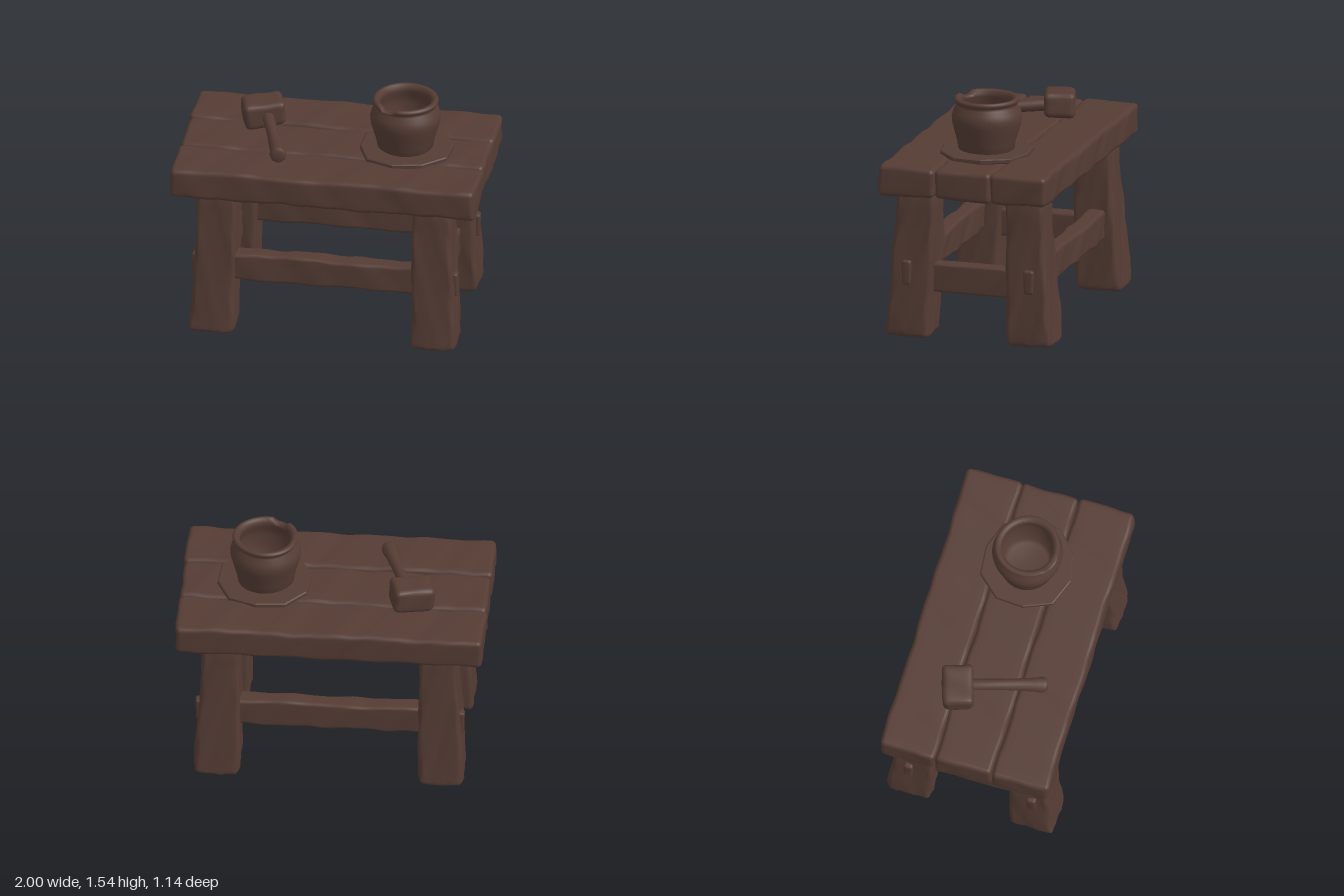
import * as THREE from 'three';
import { mergeVertices } from 'three/addons/utils/BufferGeometryUtils.js';

const wood = new THREE.MeshStandardMaterial({ color: 0x553c34 });
wood.name = 'darkBrown';

// Smooth wavering used for hand-hewn surfaces
const wave = (a, b, s) =>
  Math.sin(a * 7.3 + s * 1.7) * 0.45 + Math.sin(a * 17.1 + b * 5 + s * 3.1) * 0.35 + Math.sin(a * 31 - b * 9 + s) * 0.2;

// Weld, then recompute smooth normals
function smooth(geo) {
  geo.deleteAttribute('uv');
  geo.deleteAttribute('normal');
  const g = mergeVertices(geo, 1e-4);
  g.computeVertexNormals();
  return g;
}

// Box with rounded, uneven edges; shape(p) optionally bends it afterwards
function wornBox(size, r, seg, amp, seed, shape) {
  const geo = new THREE.BoxGeometry(1, 1, 1, ...seg);
  const pos = geo.attributes.position;
  const p = new THREE.Vector3(), c = new THREE.Vector3();
  for (let i = 0; i < pos.count; i++) {
    p.fromBufferAttribute(pos, i);
    ['x', 'y', 'z'].forEach((k, a) => {
      const n = seg[a], h = size[a] / 2, j = Math.round((p[k] + 0.5) * n);
      const m = Math.min(j, n - j), sign = j < n / 2 ? -1 : 1;
      // two outer rows form the rounded edge, the rest are evenly spread
      if (m < 2) p[k] = sign * (h - r * [0, 0.59][m]);
      else p[k] = (h - r) * (2 * (j - 2) / (n - 4) - 1);
      c[k] = THREE.MathUtils.clamp(p[k], r - h, h - r);
    });
    p.sub(c).setLength(r).add(c);
    const q = p.clone();
    p.x += amp * wave(q.y + q.z, q.x, seed) * Math.sign(q.x);
    p.y += amp * wave(q.x + q.z * 0.5, q.y, seed + 2) * Math.sign(q.y);
    p.z += amp * wave(q.x + q.y, q.z, seed + 4) * Math.sign(q.z);
    if (shape) shape(p);
    pos.setXYZ(i, p.x, p.y, p.z);
  }
  return smooth(geo);
}

function add(parent, name, geo, x = 0, y = 0, z = 0) {
  const mesh = new THREE.Mesh(geo, wood);
  mesh.name = name;
  mesh.position.set(x, y, z);
  parent.add(mesh);
  return mesh;
}

export function createModel() {
  const model = new THREE.Group();
  model.name = 'workTable';

  // Table top: three thick planks
  [['frontPlank', 0.376, 0.374, 0.2], ['middlePlank', -0.005, 0.382, 0.19], ['backPlank', -0.381, 0.366, 0.2]]
    .forEach(([name, z, depth, height], i) =>
      add(model, name, wornBox([1.985, height, depth], 0.03, [44, 8, 10], 0.008, i * 5 + 1), 0, 1.068, z));

  // Legs: splayed outwards, wider at the foot
  const legs = new THREE.Group();
  legs.name = 'legs';
  model.add(legs);
  for (const sx of [-1, 1]) for (const sz of [-1, 1]) {
    const geo = wornBox([1, 1, 1], 0.12, [10, 28, 10], 0.03, sx * 2 + sz * 3 + 8, p => {
      const t = THREE.MathUtils.clamp(p.y + 0.5, 0, 1);
      const footR = 0.03;
      // the rounded ends are squeezed to a small radius
      const y = t < 0.12 ? t / 0.12 * footR : footR + (t - 0.12) / 0.88 * (1.0 - footR);
      const k = Math.min(1, y / 0.85), s = k * k * (3 - 2 * k);
      const xo = 0.868 - 0.04 * s, xi = 0.578;
      const zo = 0.568 - 0.072 * Math.pow(k, 0.8), zi = 0.264 - 0.022 * s;
      p.set(sx * ((xo + xi) / 2 + p.x * sx * (xo - xi)), y, sz * ((zo + zi) / 2 + p.z * sz * (zo - zi)));
    });
    add(legs, 'leg', geo);
  }

  // Long rails between the legs, with tenons showing on the outside
  for (const s of [-1, 1]) {
    add(model, 'longRail', wornBox([1.4, 0.19, 0.12], 0.022, [32, 8, 8], 0.009, s + 6), 0, 0.447, s * 0.41);
    for (const e of [-1, 1])
      add(model, 'tenon', wornBox([0.12, 0.16, 0.062], 0.016, [6, 8, 6], 0.004, s + e), e * 0.808, 0.43, s * 0.413);
    // Short rail at each end
    add(model, 'sideRail', wornBox([0.11, 0.19, 0.7], 0.018, [8, 8, 20], 0.004, s + 12), s * 0.71, 0.385, 0);
  }

  // Uneven round board under the pot
  const board = new THREE.Shape();
  for (let i = 0; i < 10; i++) {
    const a = (i + 0.3) / 10 * Math.PI * 2, r = 0.308 + 0.012 * Math.sin(i * 2.3);
    board[i ? 'lineTo' : 'moveTo'](Math.cos(a) * r, Math.sin(a) * r);
  }
  const boardGeo = new THREE.ExtrudeGeometry(board, {
    depth: 0.02, bevelThickness: 0.006, bevelSize: 0.008, bevelOffset: -0.008, bevelSegments: 1,
  });
  boardGeo.rotateX(-Math.PI / 2);
  add(model, 'potBoard', boardGeo, 0.455, 1.168, 0);

  // Pot: hollow turned body with a chipped rim
  const profile = [
    [0, 1.185], [0.165, 1.185], [0.182, 1.2], [0.19, 1.25], [0.207, 1.31], [0.223, 1.37], [0.228, 1.41],
    [0.218, 1.45], [0.196, 1.483], [0.194, 1.498], [0.206, 1.508], [0.212, 1.52], [0.208, 1.532],
    [0.195, 1.537], [0.178, 1.533], [0.165, 1.515], [0.163, 1.49], [0.18, 1.45], [0.187, 1.4],
    [0.175, 1.32], [0.155, 1.245], [0.13, 1.23], [0, 1.228],
  ].map(([r, y]) => new THREE.Vector2(r, y));
  const pot = new THREE.LatheGeometry(profile, 40);
  const pp = pot.attributes.position;
  for (let i = 0; i < pp.count; i++) {
    const x = pp.getX(i), y = pp.getY(i), z = pp.getZ(i), a = Math.atan2(z, x);
    const k = 1 + 0.012 * Math.sin(a * 3 + y * 9);
    const chip = y > 1.5 && Math.abs(a - 2.05) < 0.3 ? 0.75 : 0;
    pp.setXYZ(i, x * k, y - (y - 1.5) * chip, z * k);
  }
  add(model, 'pot', smooth(pot), 0.452, 0, 0);

  // Mallet lying on the table
  const mallet = new THREE.Group();
  mallet.name = 'mallet';
  model.add(mallet);
  const head = add(mallet, 'malletHead',
    wornBox([0.275, 0.165, 0.205], 0.035, [12, 8, 10], 0.008, 3), -0.508, 1.258, -0.182);
  head.rotation.set(0, 0.305, 0.1);

  const from = new THREE.Vector3(-0.475, 1.255, -0.14), to = new THREE.Vector3(-0.315, 1.22, 0.36);
  const length = from.distanceTo(to);
  const handleGeo = new THREE.LatheGeometry([
    [0, 0], [0.04, 0], [0.038, length * 0.5], [0.047, length * 0.85], [0.054, length - 0.035],
    [0.05, length - 0.01], [0.038, length], [0, length],
  ].map(([r, y]) => new THREE.Vector2(r, y)), 10);
  const handle = add(mallet, 'malletHandle', smooth(handleGeo), from.x, from.y, from.z);
  handle.quaternion.setFromUnitVectors(new THREE.Vector3(0, 1, 0), to.clone().sub(from).normalize());

  return model;
}
